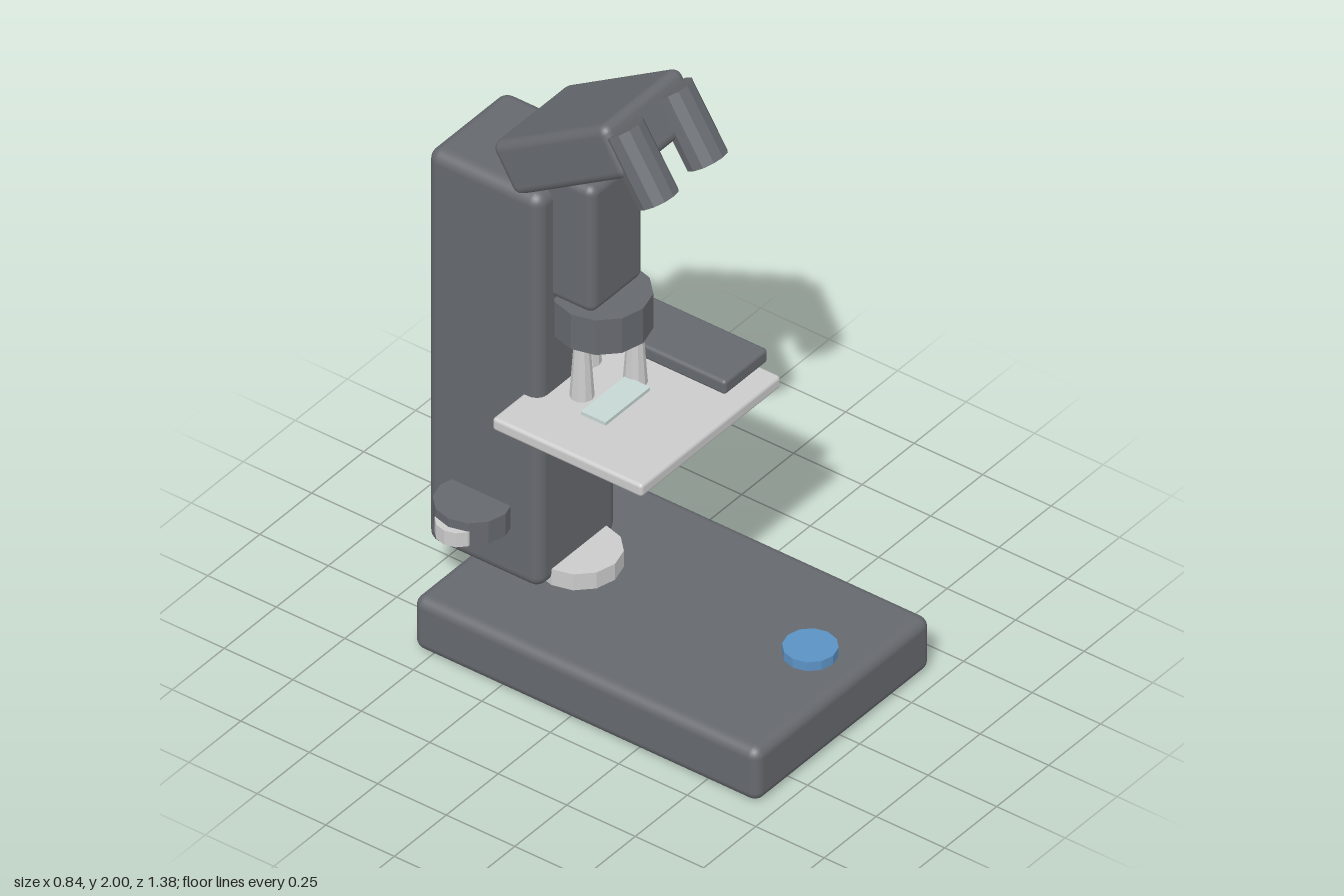
import * as THREE from 'three';
import { RoundedBoxGeometry } from 'three/addons/geometries/RoundedBoxGeometry.js';

const paint = (color, flatShading = false) => new THREE.MeshStandardMaterial({ color, flatShading });

export function createModel() {
  const model = new THREE.Group();
  model.name = 'microscope';
  const dark = paint(0x66696e), darkFlat = paint(0x66696e, true);
  const light = paint(0xcccccc), lightFlat = paint(0xcccccc, true);
  const blue = paint(0x5b92c4, true), glass = paint(0xc6d8d4);

  const add = (name, geometry, material, x, y, z, tilt = 0) => {
    const mesh = new THREE.Mesh(geometry, material);
    mesh.name = name;
    mesh.position.set(x, y, z);
    mesh.rotation.x = tilt;
    model.add(mesh);
    return mesh;
  };
  // Rounded box given by its [min, max] range on each axis
  const block = (name, [x0, x1], [y0, y1], [z0, z1], r, material) =>
    add(name, new RoundedBoxGeometry(x1 - x0, y1 - y0, z1 - z0, 3, r), material,
      (x0 + x1) / 2, (y0 + y1) / 2, (z0 + z1) / 2);
  // Upright faceted disc between two heights
  const disc = (name, r, y0, y1, x, z, material, rTop = r, sides = 12) =>
    add(name, new THREE.CylinderGeometry(rTop, r, y1 - y0, sides), material, x, (y0 + y1) / 2, z);

  // Stand
  block('base', [-0.42, 0.42], [0, 0.19], [-0.565, 0.695], 0.035, dark);
  block('column', [-0.19, 0.19], [0.195, 1.625], [-0.69, -0.275], 0.04, dark);
  disc('lamp', 0.132, 0.19, 0.248, 0, -0.275, lightFlat);
  disc('lightSwitch', 0.083, 0.245, 0.277, 0, 0.57, blue);

  // Focus knobs, mirrored on both sides of the column
  for (const side of [-1, 1]) {
    disc('coarseFocusKnob', 0.118, 0.385, 0.465, side * 0.23, -0.487, darkFlat);
    disc('fineFocusKnob', 0.07, 0.384, 0.435, side * 0.3, -0.487, lightFlat);
  }

  // Stage with slide and holder
  block('stage', [-0.337, 0.335], [0.85, 0.895], [-0.337, 0.21], 0.012, light);
  block('slideHolder', [0.147, 0.355], [0.903, 0.953], [-0.277, 0.147], 0.012, dark);
  add('slide', new THREE.BoxGeometry(0.215, 0.012, 0.09), glass, -0.087, 0.926, -0.075);

  // Optics: body tube, turret and three objectives around it
  block('bodyTube', [-0.125, 0.125], [1.228, 1.685], [-0.38, -0.13], 0.03, dark);
  disc('turret', 0.15, 1.1, 1.226, 0, -0.19, darkFlat);
  for (let i = 0; i < 3; i++) {
    const a = Math.PI + (i * Math.PI * 2) / 3;
    disc('objective', 0.037, 0.9, 1.11, 0.097 * Math.cos(a), -0.19 + 0.097 * Math.sin(a),
      lightFlat, 0.023, 10);
  }

  // Tilted head and twin eyepieces
  add('head', new RoundedBoxGeometry(0.378, 0.178, 0.49, 3, 0.03), dark, 0, 1.795, -0.207, -0.55);
  for (const side of [-1, 1]) {
    add('eyepiece', new THREE.CylinderGeometry(0.067, 0.067, 0.24, 12), darkFlat,
      side * 0.118, 1.862, 0.04, -0.57);
  }
  return model;
}
